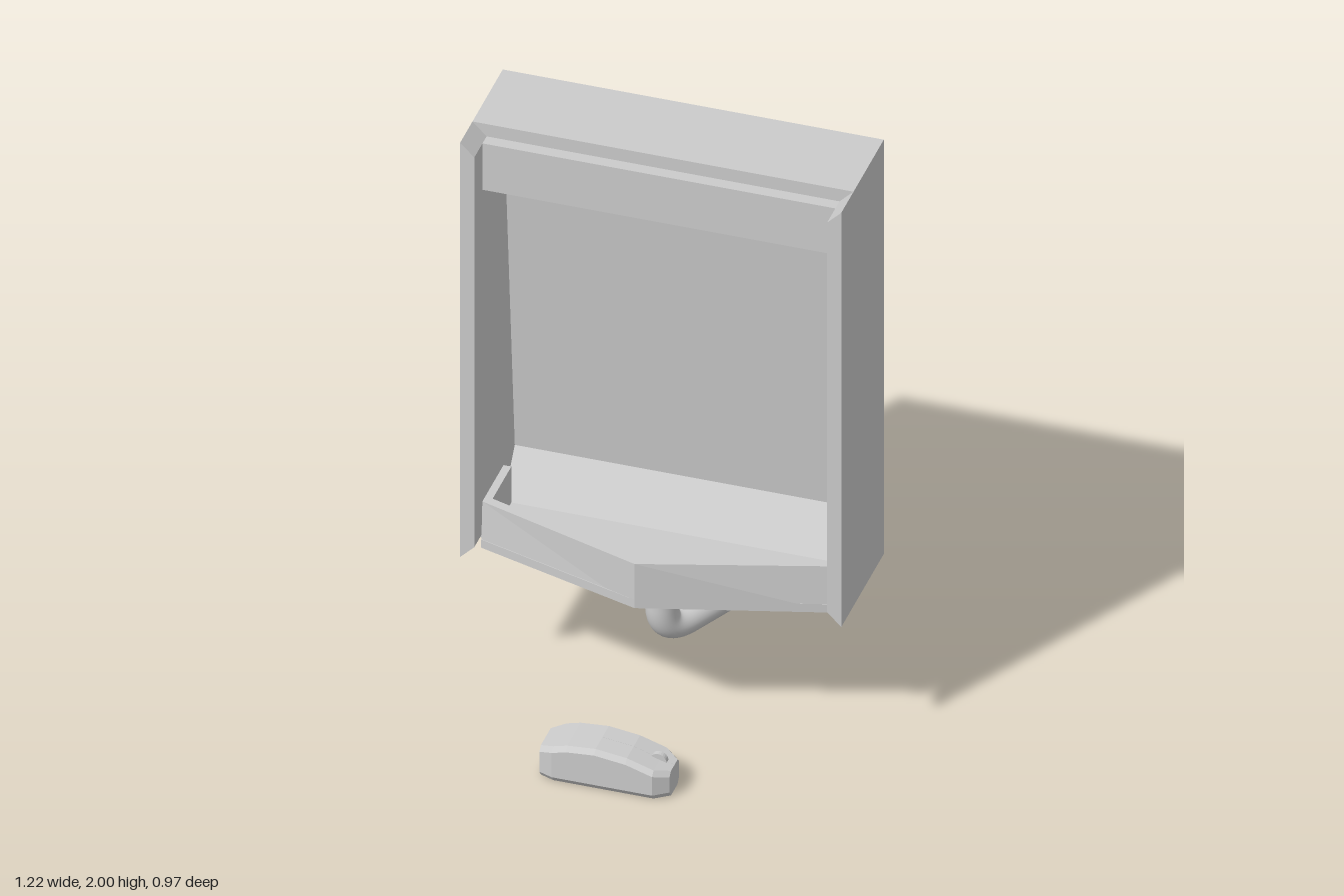
import * as THREE from 'three';

const grey = new THREE.MeshStandardMaterial({ color: 0xcccccc, flatShading: true, side: THREE.DoubleSide });
const smooth = new THREE.MeshStandardMaterial({ color: 0xcccccc });

const W = 0.608, IN = 0.563;                 // outer and inner half width
const BOT = 0.48, TOP = 2, T = 0.045;        // body height range, wall thickness
const BACK = -0.33, MID = -0.035, FRONT = 0.085;

function add(parent, name, geometry, material = grey) {
  const mesh = new THREE.Mesh(geometry, material);
  mesh.name = name;
  parent.add(mesh);
  return mesh;
}

// box from its two extreme corners
function box(x0, x1, y0, y1, z0, z1) {
  return new THREE.BoxGeometry(x1 - x0, y1 - y0, z1 - z0)
    .translate((x0 + x1) / 2, (y0 + y1) / 2, (z0 + z1) / 2);
}

function extrude(points, depth) {
  const shape = new THREE.Shape(points.map(p => new THREE.Vector2(...p)));
  return new THREE.ExtrudeGeometry(shape, { depth, bevelEnabled: false });
}

// outline given as (x, z), raised from y0 to y1
function slab(points, y0, y1) {
  return extrude(points.map(([x, z]) => [x, -z]), y1 - y0).rotateX(-Math.PI / 2).translate(0, y0, 0);
}

function rod(a, b, r) {
  const dir = b.clone().sub(a);
  const g = new THREE.CylinderGeometry(r, r, dir.length(), 32);
  g.applyQuaternion(new THREE.Quaternion().setFromUnitVectors(new THREE.Vector3(0, 1, 0), dir.clone().normalize()));
  return g.translate(...a.clone().add(b).multiplyScalar(0.5).toArray());
}

function createBasin() {
  const g = new THREE.Group();
  g.name = 'basin';

  // back shell: C-shaped profile (z, y) with leaning back wall and sloping floor
  const profile = [[BACK, BOT], [MID, BOT], [MID, 0.51], [-0.2, 0.51], [-0.31, 0.645],
    [-0.2, TOP - T], [MID, TOP - T], [MID, TOP], [BACK, TOP]];
  add(g, 'backShell', extrude(profile.map(([z, y]) => [-z, y]), 2 * IN)
    .rotateY(Math.PI / 2).translate(-IN, 0, 0));

  // side walls, with mitred front flanges
  for (const s of [-1, 1]) {
    const [x0, x1] = s < 0 ? [-W, -IN] : [IN, W];
    add(g, 'sideWall', box(x0, x1, BOT, TOP, BACK, MID));
    add(g, 'sideFlange', extrude([[s * W, BOT], [s * W, TOP], [s * IN, TOP - T], [s * IN, BOT + T]], FRONT - MID)
      .translate(0, 0, MID));
  }

  // panel under the top
  add(g, 'topPanel', box(-IN, IN, 1.785, TOP - T, -0.06, 0.005));

  // pointed bowl floor and its raised lip
  const tip = [-0.02, 0.183];
  add(g, 'bowlFloor', slab([[-IN, MID], [-IN, 0.018], tip, [IN, 0.018], [IN, MID]], BOT, 0.51));
  const lip = slab([[-IN, -0.2], [-IN, 0.006], tip, [IN, 0.006], [IN, -0.2],
    [IN - 0.025, -0.2], [IN - 0.025, -0.018], [-0.02, 0.152], [-IN + 0.025, -0.018], [-IN + 0.025, -0.2]], BOT, 0.642);
  // lower outer corners lean slightly forward
  const p = lip.attributes.position;
  for (let i = 0; i < p.count; i++) {
    if (p.getY(i) < 0.5 && Math.abs(p.getX(i)) > IN - 0.005 && p.getZ(i) > 0) p.setZ(i, 0.018);
  }
  lip.computeVertexNormals();
  add(g, 'bowlLip', lip);
  return g;
}

function createDrain() {
  const g = new THREE.Group();
  g.name = 'drainPipe';
  const r = 0.051, x = -0.025, z = -0.1;
  const corner = new THREE.Vector3(x, 0.21, z);
  const end = new THREE.Vector3(0.259, 0.312, -0.453);
  const start = new THREE.Vector3(x, 0.31, z);
  const out = end.clone().sub(corner).normalize().multiplyScalar(0.1).add(corner);
  add(g, 'downPipe', rod(start, new THREE.Vector3(x, 0.5, z), r), smooth);
  add(g, 'pipeBend', new THREE.TubeGeometry(new THREE.QuadraticBezierCurve3(start, corner, out), 16, r, 32), smooth);
  add(g, 'outletPipe', rod(out, end, r), smooth);
  return g;
}

function createPointer() {
  const g = new THREE.Group();
  g.name = 'pointingDevice';
  const zc = 0.405;
  // cross-sections: x, half width, height
  const sections = [[-0.23, 0.063, 0.108], [-0.185, 0.08, 0.124], [-0.14, 0.08, 0.136], [-0.05, 0.08, 0.143],
    [0.05, 0.08, 0.13], [0.135, 0.08, 0.103], [0.18, 0.047, 0.09]];
  const pos = [], idx = [], N = 8;
  for (const [x, w, h] of sections) {
    const ring = [[w - 0.015, 0], [w, 0.02], [w, h - 0.015], [w - 0.015, h]];
    for (const [z, y] of ring) pos.push(x, y, zc + z);
    for (const [z, y] of [...ring].reverse()) pos.push(x, y, zc - z);
  }
  for (let s = 0; s < sections.length - 1; s++) {
    for (let i = 0; i < N; i++) {
      const a = s * N + i, b = s * N + (i + 1) % N;
      idx.push(a, a + N, b, b, a + N, b + N);
    }
  }
  const last = (sections.length - 1) * N;
  for (let i = 1; i < N - 1; i++) {
    idx.push(0, i, i + 1);
    idx.push(last, last + i + 1, last + i);
  }
  const body = new THREE.BufferGeometry();
  body.setAttribute('position', new THREE.Float32BufferAttribute(pos, 3));
  body.setIndex(idx);
  const flat = body.toNonIndexed();
  flat.computeVertexNormals();
  add(g, 'pointerBody', flat);

  // seam between the buttons, and the scroll wheel
  add(g, 'buttonSeam', extrude([[-0.05, 0.13], [-0.05, 0.1435], [0.05, 0.1305], [0.135, 0.1035], [0.1805, 0.0905],
    [0.1805, 0.06], [0.135, 0.09]], 0.004).translate(0, 0, zc - 0.006));
  const wheel = add(g, 'scrollWheel', new THREE.CylinderGeometry(0.027, 0.027, 0.018, 24).rotateX(Math.PI / 2), grey);
  wheel.position.set(0.13, 0.096, zc - 0.004);
  return g;
}

export function createModel() {
  const model = new THREE.Group();
  model.name = 'basinWithPointer';
  model.add(createBasin(), createDrain(), createPointer());
  return model;
}
